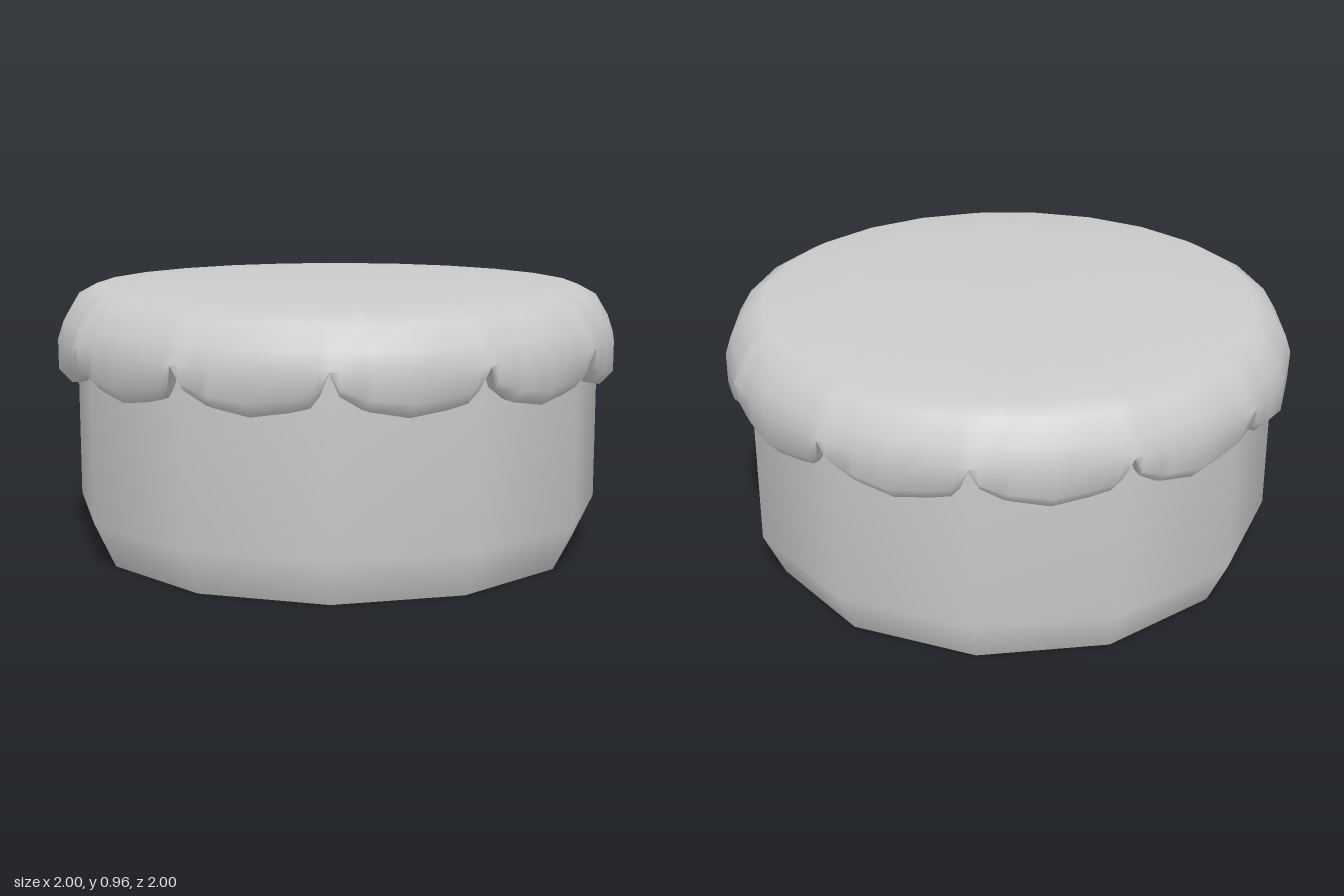
import * as THREE from 'three';

const SCALLOPS = 12;
const rad = THREE.MathUtils.degToRad;
const material = new THREE.MeshStandardMaterial({ color: 0xcccccc, side: THREE.DoubleSide });

// one scallop: degrees from its notch, and height of the drip edge there
const DRIP = [[0, 0.765], [1.8, 0.69], [6, 0.645], [7.5, 0.637], [15, 0.615], [22.5, 0.633], [26.5, 0.65], [28.3, 0.69]];

// columns around the whole rim
const columns = [];
for (let s = 0; s <= SCALLOPS; s++) {
  for (const [deg, edge] of DRIP) {
    columns.push({ deg: s * 30 + deg, edge });
    if (s === SCALLOPS) break;
  }
}

// radius factor that keeps the rim a 24-sided polygon
const facet = (deg) => Math.cos(rad(7.5)) / Math.cos(rad((deg % 15) - 7.5));

// surface through rows; each row gives [radius, height] for a drip edge height
function rimSurface(rows) {
  const positions = [], index = [], n = columns.length;
  for (const row of rows) {
    for (const { deg, edge } of columns) {
      const [r, y] = row(edge);
      const R = r * facet(deg);
      positions.push(R * Math.sin(rad(deg)), y, R * Math.cos(rad(deg)));
    }
  }
  for (let i = 0; i < rows.length - 1; i++) {
    for (let j = 0; j < n - 1; j++) {
      const a = i * n + j, c = a + n;
      if (rows[i](0)[0] > 0) index.push(a, c, a + 1);
      index.push(a + 1, c, c + 1);
    }
  }
  const geometry = new THREE.BufferGeometry();
  geometry.setAttribute('position', new THREE.Float32BufferAttribute(positions, 3));
  geometry.setIndex(index);
  geometry.computeVertexNormals();
  // match the normals where the ring closes
  const normal = geometry.attributes.normal;
  const sum = new THREE.Vector3(), other = new THREE.Vector3();
  for (let i = 0; i < rows.length; i++) {
    const a = i * n, b = a + n - 1;
    sum.fromBufferAttribute(normal, a).add(other.fromBufferAttribute(normal, b)).normalize();
    normal.setXYZ(a, sum.x, sum.y, sum.z);
    normal.setXYZ(b, sum.x, sum.y, sum.z);
  }
  return geometry;
}

function addMesh(group, name, geometry) {
  const mesh = new THREE.Mesh(geometry, material);
  mesh.name = name;
  group.add(mesh);
}

export function createModel() {
  const model = new THREE.Group();
  model.name = 'cake';

  // hollow twelve-sided body with a tapered foot
  const profile = [[0.87, 0], [0.945, 0.16], [0.945, 0.78]].map(([r, y]) => new THREE.Vector2(r, y));
  addMesh(model, 'body', new THREE.LatheGeometry(profile, SCALLOPS));

  // icing: shallow dome, rounded shoulder, scalloped drips
  const icing = new THREE.Group();
  icing.name = 'icing';
  const dripEdge = (edge) => [0.955 + 0.045 * (edge - 0.615) / 0.15, edge];
  addMesh(icing, 'icingTop', rimSurface([
    () => [0, 0.962],
    () => [0.6, 0.95],
    () => [0.87, 0.94],
    () => [0.935, 0.905],
    () => [0.98, 0.83],
    () => [1, 0.77],
    (edge) => [1, THREE.MathUtils.lerp(0.768, edge, 0.68)],
    dripEdge,
  ]));

  // underside of the drips, turned in through the body wall
  addMesh(icing, 'icingLip', rimSurface([dripEdge, (edge) => [0.9, edge + 0.005]]));
  model.add(icing);
  return model;
}
